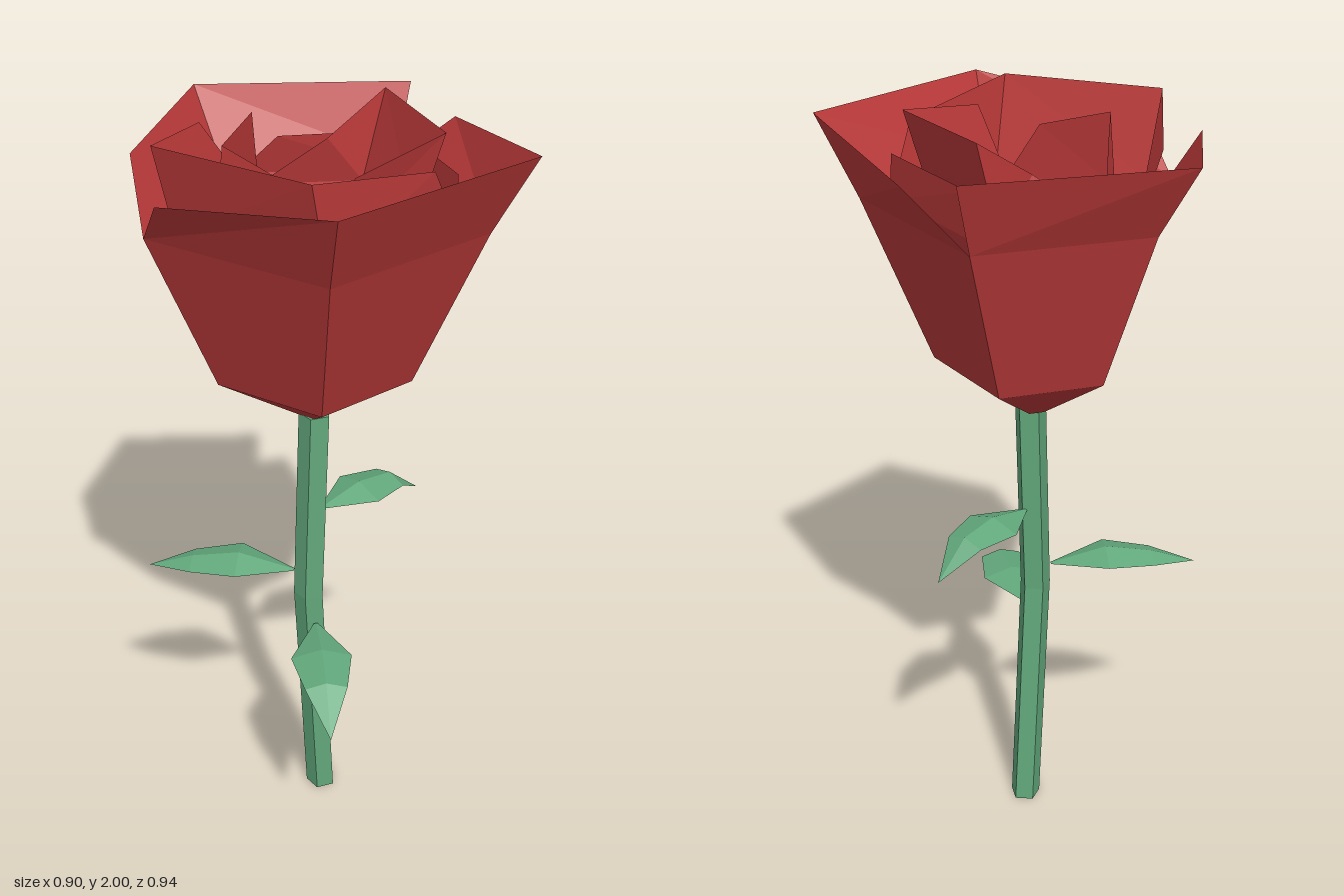
import * as THREE from 'three';

const red = new THREE.MeshStandardMaterial({ color: 0xbd3a3a, flatShading: true, side: THREE.DoubleSide });
const green = new THREE.MeshStandardMaterial({ color: 0x62a87c, flatShading: true, side: THREE.DoubleSide });

// Skin a list of cross-sections (each an array of [x, y, z]) into a faceted surface.
function loft(name, rows, material) {
  const pos = [];
  for (let i = 0; i < rows.length - 1; i++) {
    for (let j = 0; j < rows[i].length - 1; j++) {
      const a = rows[i][j], b = rows[i][j + 1], c = rows[i + 1][j + 1], d = rows[i + 1][j];
      pos.push(...a, ...b, ...c, ...a, ...c, ...d);
    }
  }
  const g = new THREE.BufferGeometry();
  g.setAttribute('position', new THREE.Float32BufferAttribute(pos, 3));
  g.computeVertexNormals();
  const mesh = new THREE.Mesh(g, material);
  mesh.name = name;
  return mesh;
}

// Pentagon that every petal layer follows at its widest bend: x, z
const PENT = [[0.235, 0.37], [0.38, -0.12], [0.01, -0.36], [-0.4, -0.1], [-0.24, 0.37]];

// A petal spans two pentagon corners and flares to its own two rim points.
function petal(name, from, to, scale, rimA, rimB) {
  const row = (s, y) => [from, to].map(i => [PENT[i][0] * s, y, 0.015 * (1 - s) + PENT[i][1] * s]);
  return loft(name, [row(0.09, 1.24), row(0.6 * scale, 1.37), row(scale, 1.78), [rimA, rimB]], red);
}

// A leaf folded along its midrib, arching away from the stem.
function leaf(name, base, angle, length, rise, drop) {
  const sections = [[0, 0.006, 0], [0.38, 0.08, rise], [0.7, 0.055, rise * 0.55], [1, 0, -drop]];
  const rows = sections.map(([t, w, h]) => [
    [t * length, h - w * 0.3, -w], [t * length, h, 0], [t * length, h - w * 0.3, w]]);
  const mesh = loft(name, rows, green);
  mesh.position.set(...base);
  mesh.rotation.y = angle;
  return mesh;
}

export function createModel() {
  const model = new THREE.Group();
  model.name = 'rose';

  // Five-sided stem with a slight bend, closed at both ends
  const ring = (x, y, z, r) => Array.from({ length: 6 }, (_, i) => {
    const a = (i % 5) * Math.PI * 2 / 5 + 0.3;
    return [x + r * Math.sin(a), y, z + r * Math.cos(a)];
  });
  model.add(loft('stem', [
    ring(0.015, 0, 0.04, 0), ring(0.015, 0, 0.04, 0.042), ring(-0.025, 0.7, 0.035, 0.042),
    ring(-0.007, 1.25, 0.035, 0.042), ring(-0.007, 1.25, 0.035, 0),
  ], green));

  // Leaves
  model.add(
    leaf('upperLeaf', [0.02, 0.95, 0.03], 0, 0.34, 0.03, 0.07),
    leaf('middleLeaf', [-0.05, 0.765, 0], Math.atan2(0.28, -0.28), 0.395, 0.043, 0.015),
    leaf('lowerLeaf', [-0.035, 0.62, 0.075], Math.atan2(-0.325, -0.215), 0.39, 0.025, 0.075));

  // Petals, layer by layer: first corner, second corner, rim points
  const layers = {
    outer: [1, [
      [4, 0, [-0.3, 1.98, 0.465], [0.28, 1.98, 0.465]],
      [0, 1, [0.28, 1.98, 0.465], [0.435, 1.92, 0.03]],
      [1, 2, [0.45, 1.96, -0.15], [0.01, 1.96, -0.47]],
      [2, 3, [0.01, 1.96, -0.47], [-0.34, 1.93, -0.23]],
      [3, 4, [-0.45, 1.91, 0.03], [-0.3, 1.98, 0.465]],
    ]],
    middle: [0.82, [
      [4, 0, [-0.25, 2, 0.32], [0.09, 1.95, 0.33]],
      [0, 1, [0.21, 1.9, 0.28], [0.32, 1.9, -0.07]],
      [1, 2, [0.3, 1.88, -0.09], [0.08, 1.88, -0.22]],
      [2, 3, [-0.11, 1.94, -0.28], [-0.38, 2, -0.08]],
      [3, 4, [-0.38, 2, -0.08], [-0.25, 2, 0.32]],
    ]],
    inner: [0.58, [
      [4, 0, [-0.09, 1.96, 0.27], [0.18, 2, 0.265]],
      [0, 1, [0.18, 2, 0.265], [0.285, 2, -0.06]],
      [1, 2, [0.285, 2, -0.06], [0.13, 1.9, -0.09]],
      [2, 3, [-0.02, 1.97, -0.19], [-0.21, 1.97, -0.05]],
      [3, 4, [-0.21, 1.97, -0.05], [-0.16, 1.92, 0.13]],
    ]],
  };
  const sides = ['Front', 'Right', 'BackRight', 'BackLeft', 'Left'];
  // The model's own left is +x
  const own = { Right: 'Left', Left: 'Right', BackRight: 'BackLeft', BackLeft: 'BackRight', Front: 'Front' };
  const bloom = new THREE.Group();
  bloom.name = 'bloom';
  for (const [layer, [scale, petals]] of Object.entries(layers)) {
    petals.forEach(([from, to, a, b], i) =>
      bloom.add(petal(`${layer}${own[sides[i]]}Petal`, from, to, scale, a, b)));
  }
  // Small floor where the petals meet
  const base = PENT.map(([x, z]) => [x * 0.09, 1.24, 0.0137 + z * 0.09]);
  bloom.add(loft('bloomBase', [[...base, base[0]], Array(6).fill([0, 1.23, 0.015])], red));
  model.add(bloom);
  return model;
}
